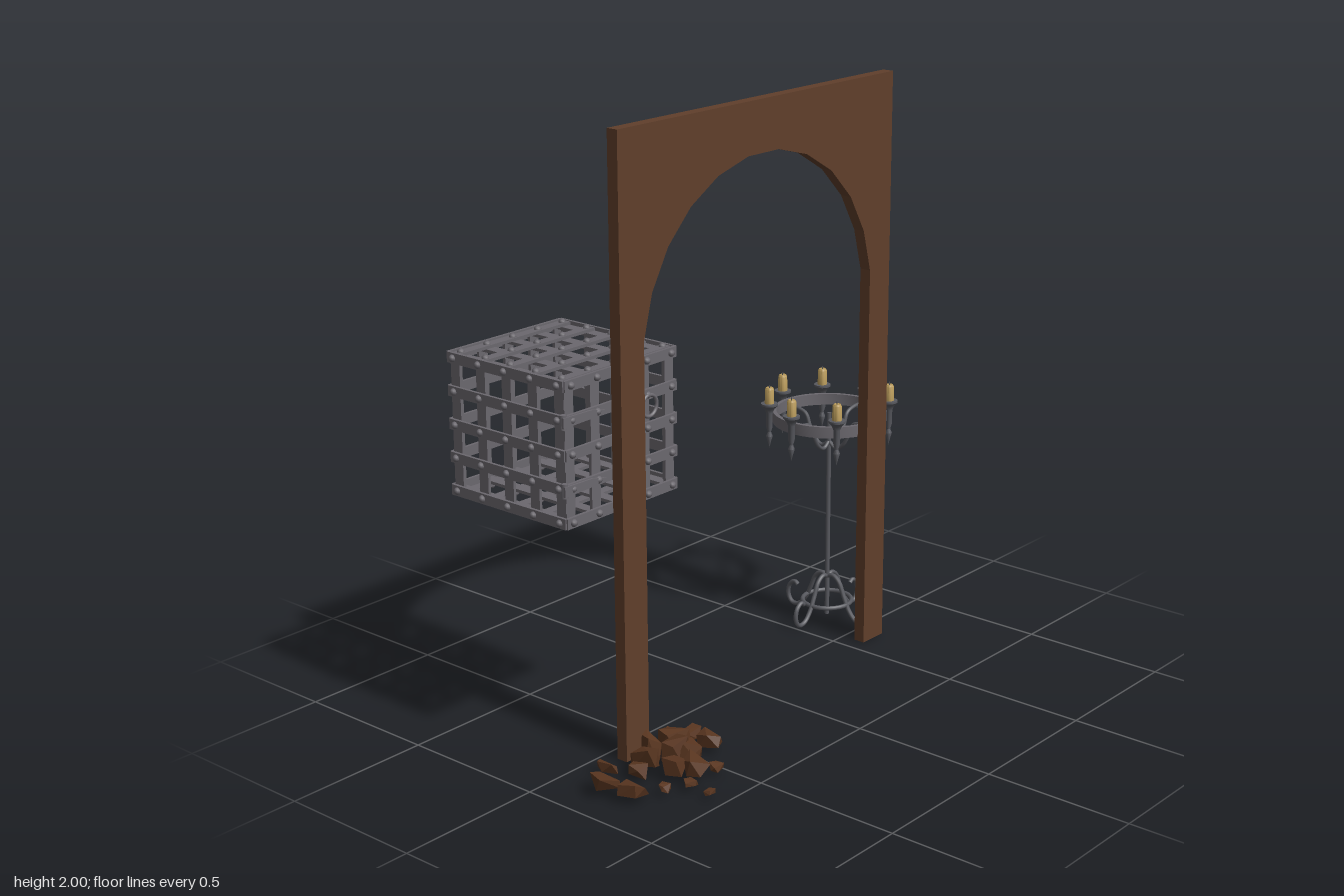
import * as THREE from 'three';
import { toCreasedNormals } from 'three/addons/utils/BufferGeometryUtils.js';
import { ConvexGeometry } from 'three/addons/geometries/ConvexGeometry.js';

const mat = (name, color) => {
  const m = new THREE.MeshStandardMaterial({ color });
  m.name = name;
  return m;
};
const wood = mat('brown wood', 0x603f2b);
const stone = mat('rubble brown', 0x5a3620);
const iron = mat('cage iron', 0x6b686e);
const darkIron = mat('stand iron', 0x58595f);
const wax = mat('candle wax', 0xb89a5a);

function add(parent, name, geometry, material, x = 0, y = 0, z = 0) {
  const mesh = new THREE.Mesh(geometry, material);
  mesh.name = name;
  mesh.position.set(x, y, z);
  parent.add(mesh);
  return mesh;
}

function group(parent, name, x = 0, y = 0, z = 0) {
  const g = new THREE.Group();
  g.name = name;
  g.position.set(x, y, z);
  parent.add(g);
  return g;
}

const lathe = (points, segments) =>
  toCreasedNormals(new THREE.LatheGeometry(points.map(p => new THREE.Vector2(...p)), segments), 0.7);

const tube = (points, radius, segments = 36) =>
  new THREE.TubeGeometry(new THREE.CatmullRomCurve3(
    points.map(([x, y]) => new THREE.Vector3(x, y, 0))), segments, radius, 8);

// Flat board with a faceted round opening
function buildArch(root) {
  const s = new THREE.Shape();
  s.moveTo(-0.662, 0);
  s.lineTo(-0.662, 2);
  s.lineTo(0.665, 2);
  s.lineTo(0.665, 0);
  s.lineTo(0.558, 0);
  for (let i = 0; i < 12; i++) {
    const a = THREE.MathUtils.degToRad(7.5 + i * 15);
    s.lineTo(Math.cos(a) * 0.563, 1.272 + Math.sin(a) * 0.563);
  }
  s.lineTo(-0.558, 0);
  s.closePath();
  add(root, 'archway', new THREE.ExtrudeGeometry(s, { depth: 0.04, bevelEnabled: false }), wood, 0, 0, 0.05);
}

// One side of the cage: five by five riveted straps
function buildGrille(parent, name, stepU, stepV, lengthU, lengthV, distance) {
  const g = group(parent, name);
  const rivet = new THREE.SphereGeometry(0.012, 8, 6);
  const across = new THREE.BoxGeometry(lengthU, 0.034, 0.01);
  const upright = new THREE.BoxGeometry(0.038, lengthV, 0.01);
  for (let i = -2; i <= 2; i++) {
    add(g, 'crossStrap', across, iron, 0, i * stepV, distance + 0.005);
    add(g, 'uprightStrap', upright, iron, i * stepU, 0, distance - 0.005);
    for (let j = -2; j <= 2; j++) add(g, 'rivet', rivet, iron, i * stepU, j * stepV, distance + 0.01);
  }
  return g;
}

function buildCage(root) {
  const cage = group(root, 'cage', -0.608, 1.049, -0.205);
  ['front', 'left', 'back', 'right'].forEach((side, i) => {
    buildGrille(cage, side + 'Grille', 0.11, 0.107, 0.49, 0.45, 0.24).rotation.y = i * Math.PI / 2;
  });
  for (const s of [1, -1]) {
    buildGrille(cage, s > 0 ? 'topGrille' : 'bottomGrille', 0.11, 0.107, 0.49, 0.49, 0.219)
      .rotation.x = -s * Math.PI / 2;
  }
  // Door hinges with pointed straps
  const strap = new THREE.Shape();
  strap.moveTo(-0.26, -0.016);
  strap.lineTo(-0.14, -0.013);
  strap.lineTo(-0.08, 0);
  strap.lineTo(-0.14, 0.013);
  strap.lineTo(-0.26, 0.016);
  const strapGeo = new THREE.ExtrudeGeometry(strap, { depth: 0.008, bevelEnabled: false });
  for (const y of [-0.107, 0.107]) {
    add(cage, 'hingeStrap', strapGeo, iron, 0, y, 0.249);
    add(cage, 'hingePin', new THREE.CylinderGeometry(0.01, 0.01, 0.045, 10), iron, -0.25, y, 0.245);
  }
  // Pull ring
  add(cage, 'ringPlate', new THREE.BoxGeometry(0.09, 0.02, 0.01), iron, 0.113, 0.115, 0.25);
  add(cage, 'pullRing', new THREE.TorusGeometry(0.034, 0.006, 8, 24), iron, 0.113, 0.072, 0.255);
}

function buildCandleStand(root) {
  const stand = group(root, 'candleStand', 0.666, 0, -0.158);
  add(stand, 'pole', new THREE.CylinderGeometry(0.008, 0.008, 0.76, 10), darkIron, 0, 0.39, 0);
  add(stand, 'candleRing', lathe([[0.2, 0.74], [0.2, 0.78], [0.186, 0.78], [0.186, 0.74], [0.2, 0.74]], 40), iron);
  add(stand, 'footRing', new THREE.TorusGeometry(0.088, 0.008, 8, 32), darkIron, 0, 0.065, 0)
    .rotation.x = Math.PI / 2;

  // Four scrolled feet and four curved arms
  const leg = tube([[0, 0.155], [0.025, 0.163], [0.052, 0.145], [0.075, 0.095], [0.1, 0.045], [0.13, 0.015],
    [0.16, 0.013], [0.178, 0.04], [0.172, 0.078], [0.148, 0.096], [0.134, 0.086]], 0.008, 48);
  const arm = tube([[0.19, 0.76], [0.14, 0.758], [0.104, 0.745], [0.086, 0.705], [0.06, 0.662], [0.03, 0.645],
    [0, 0.665]], 0.007);
  for (let i = 0; i < 4; i++) {
    add(stand, 'scrolledFoot', leg, darkIron).rotation.y = i * Math.PI / 2;
    add(stand, 'curvedArm', arm, darkIron).rotation.y = i * Math.PI / 2;
  }

  // Eight candle holders with drop finials
  const cup = lathe([[0, 0.645], [0.005, 0.665], [0.012, 0.69], [0.006, 0.705], [0.012, 0.725], [0.012, 0.775],
    [0.018, 0.79], [0.03, 0.803], [0.03, 0.81], [0, 0.81]], 14);
  const candle = lathe([[0.017, 0.805], [0.016, 0.862], [0.012, 0.868], [0, 0.866]], 12);
  for (let i = 0; i < 8; i++) {
    const a = i * Math.PI / 4;
    const holder = group(stand, 'candleHolder', Math.cos(a) * 0.211, 0, Math.sin(a) * 0.211);
    add(holder, 'cup', cup, darkIron);
    add(holder, 'candle', candle, wax);
    add(holder, 'wick', new THREE.CylinderGeometry(0.002, 0.002, 0.012, 5), darkIron, 0, 0.871, 0);
  }
}

// Heap of broken, angular chunks: x, z, half width, half depth, height
function buildRubble(root) {
  const rubble = group(root, 'rubble');
  let seed = 11;
  const rand = () => (seed = (seed * 16807) % 2147483647) / 2147483647;
  const chunks = [
    [-0.77, 0.107, 0.022, 0.042, 0.05], [-0.86, 0.19, 0.052, 0.052, 0.07], [-0.84, 0.275, 0.05, 0.05, 0.06],
    [-0.725, 0.2, 0.03, 0.035, 0.05], [-0.685, 0.19, 0.04, 0.05, 0.09], [-0.655, 0.28, 0.045, 0.045, 0.07],
    [-0.605, 0.325, 0.045, 0.05, 0.07], [-0.75, 0.33, 0.024, 0.018, 0.03], [-0.675, 0.365, 0.028, 0.02, 0.03],
    [-0.675, 0.445, 0.025, 0.015, 0.02], [-0.54, 0.355, 0.026, 0.022, 0.03], [-0.525, 0.165, 0.06, 0.045, 0.085],
    [-0.435, 0.23, 0.045, 0.05, 0.06], [-0.56, 0.27, 0.04, 0.04, 0.08], [-0.475, 0.105, 0.026, 0.022, 0.04],
    [-0.63, 0.165, 0.035, 0.04, 0.115], [-0.425, 0.15, 0.035, 0.025, 0.045], [-0.575, 0.215, 0.045, 0.04, 0.095],
  ];
  for (const [x, z, w, d, h] of chunks) {
    const points = [];
    for (let i = 0; i < 9; i++) {
      const a = (i + rand() * 0.6) * Math.PI * 2 / 4.5;
      const r = 0.8 + rand() * 0.3;
      const level = i < 5 ? rand() * 0.35 : 0.6 + rand() * 0.4;
      points.push(new THREE.Vector3(Math.cos(a) * w * r, level * h, Math.sin(a) * d * r));
    }
    add(rubble, 'chunk', new ConvexGeometry(points), stone, x, 0.012, z);
  }
}

export function createModel() {
  const root = new THREE.Group();
  root.name = 'dungeonProps';
  buildArch(root);
  buildCage(root);
  buildCandleStand(root);
  buildRubble(root);
  return root;
}
